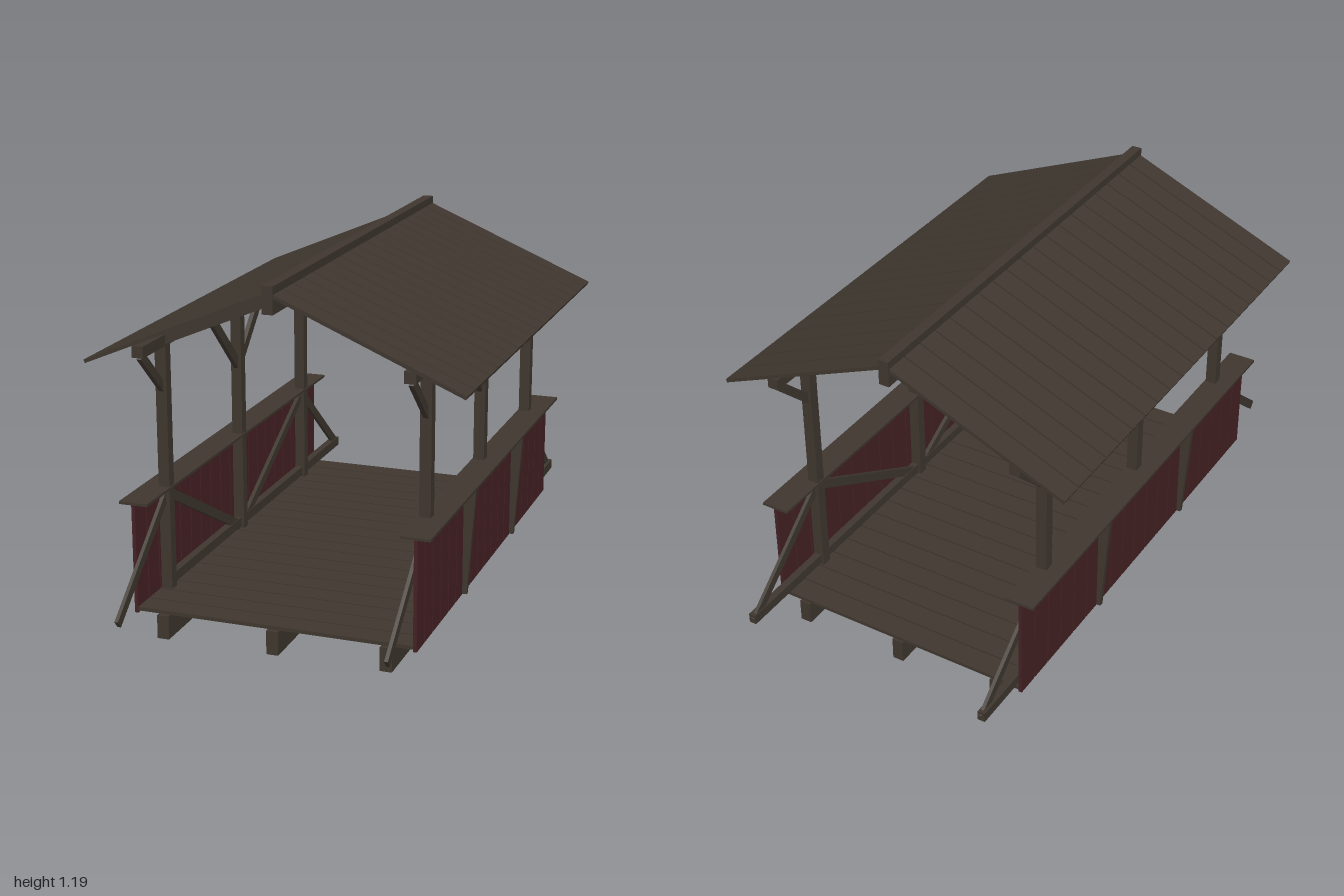
import * as THREE from 'three';

export function createModel() {
  const model = new THREE.Group();
  model.name = 'coveredBridge';

  const wood = new THREE.MeshStandardMaterial({ color: 0x3e362e });
  wood.name = 'weathered wood';
  const red = new THREE.MeshStandardMaterial({ color: 0x442124 });
  red.name = 'dark red paint';

  const half = 0.806;              // half length of deck, walls and roof
  const boards = 19;               // boards along the length
  const pitch = (half * 2) / boards;
  const boardZ = (i) => -half + pitch * (i + 0.5);
  const boardWidth = pitch - 0.005;

  function group(name, parent = model) {
    const g = new THREE.Group();
    g.name = name;
    parent.add(g);
    return g;
  }

  function box(parent, name, w, h, d, x, y, z, material = wood) {
    const m = new THREE.Mesh(new THREE.BoxGeometry(w, h, d), material);
    m.name = name;
    m.position.set(x, y, z);
    parent.add(m);
    return m;
  }

  // Sloping timber in a plane of constant x, between two (z, y) points
  function strut(parent, name, x, [z0, y0], [z1, y1], width, depth) {
    const dz = z1 - z0, dy = y1 - y0;
    const m = box(parent, name, width, depth, Math.hypot(dz, dy), x, (y0 + y1) / 2, (z0 + z1) / 2);
    m.rotation.x = -Math.atan2(dy, dz);
    return m;
  }

  // Bearers and deck boards
  const deck = group('deck');
  for (const x of [-0.378, 0, 0.378]) box(deck, 'bearer', 0.04, 0.08, half * 2, x, 0.04, 0);
  for (let i = 0; i < boards; i++) box(deck, 'deckBoard', 0.93, 0.012, boardWidth, 0, 0.092, boardZ(i));

  // Tapered outer wall bracket, drawn in the x-y plane
  function bracket(parent, s, z) {
    const shape = new THREE.Shape([
      new THREE.Vector2(s * 0.477, 0.08),
      new THREE.Vector2(s * 0.492, 0.08),
      new THREE.Vector2(s * 0.518, 0.445),
      new THREE.Vector2(s * 0.477, 0.445),
    ]);
    const m = new THREE.Mesh(new THREE.ExtrudeGeometry(shape, { depth: 0.016, bevelEnabled: false }), wood);
    m.name = 'wallBracket';
    m.position.z = z - 0.008;
    parent.add(m);
  }

  for (const s of [1, -1]) {
    const side = group(s > 0 ? 'leftSide' : 'rightSide');
    const x = s * 0.444;

    // Boarded wall with cap and brackets
    const wall = group('wall', side);
    for (let i = 0; i < boards; i++) {
      box(wall, 'wallBoard', 0.012, 0.368, boardWidth, s * 0.471, 0.262, boardZ(i), red);
    }
    box(wall, 'wallCap', 0.098, 0.009, half * 2, s * 0.47, 0.449, 0);
    for (const z of [-0.3, 0.3]) bracket(wall, s, z);

    // Posts, top plate and bottom rail
    const frame = group('frame', side);
    for (const z of [-0.61, 0, 0.61]) box(frame, 'post', 0.038, 0.84, 0.036, x, 0.51, z);
    box(frame, 'topPlate', 0.038, 0.038, 1.58, x, 0.946, 0);
    box(frame, 'bottomRail', 0.026, 0.034, 1.6, s * 0.447, 0.122, -0.2);

    // Braces, mirrored front to back
    for (const e of [1, -1]) {
      strut(frame, 'middleKneeBrace', x, [0, 0.7], [e * 0.235, 0.93], 0.016, 0.034);
      strut(frame, 'endKneeBrace', x, [e * 0.605, 0.775], [e * 0.77, 0.93], 0.016, 0.03);
      strut(frame, 'wallDiagonal', x, [e * 0.02, 0.11], [e * 0.6, 0.425], 0.014, 0.032);
      strut(frame, 'outrigger', x, [e * 0.61, 0.43], [e * 0.992, 0.115], 0.012, 0.032);
    }
  }

  // Gable roof: boards and rafters on both slopes, with a ridge beam
  const roof = group('roof');
  box(roof, 'ridgeBeam', 0.036, 0.088, half * 2 + 0.004, 0, 1.149, 0);
  const slope = 0.424;
  const angle = Math.atan(slope);
  function slopeTimber(name, s, x0, x1, height, thick, depth, z) {
    const mid = (x0 + x1) / 2;
    const m = box(roof, name, (x1 - x0) / Math.cos(angle), thick, depth, s * mid, height - slope * mid, z);
    m.rotation.z = -s * angle;
  }
  for (const s of [1, -1]) {
    for (let i = 0; i < boards; i++) slopeTimber('roofBoard', s, 0.005, 0.622, 1.168, 0.012, boardWidth, boardZ(i));
    for (const z of [-0.61, 0, 0.61]) slopeTimber('rafter', s, 0.005, 0.45, 1.138, 0.044, 0.036, z);
  }

  return model;
}
